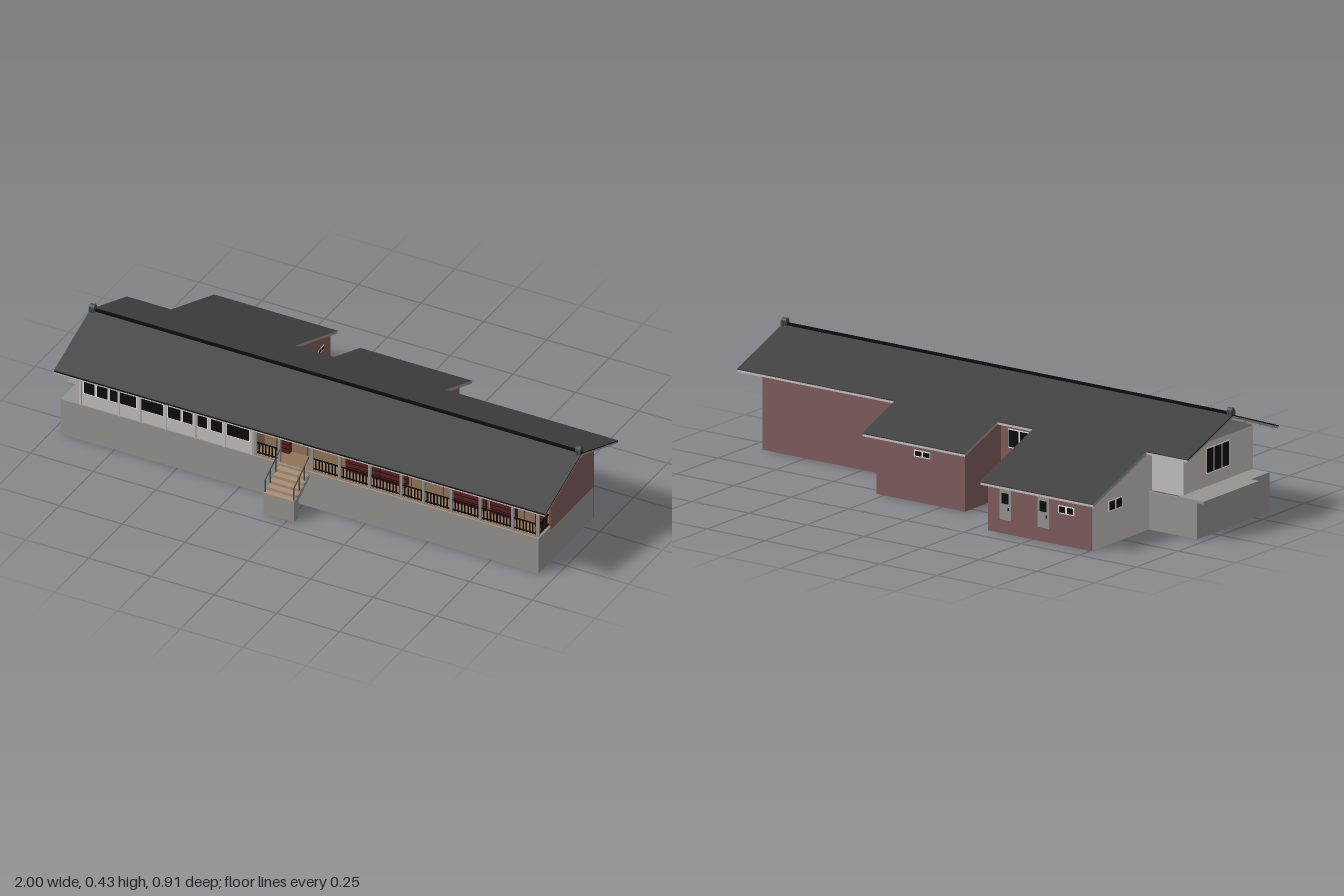
import * as THREE from 'three';

const mat = (name, hex) => {
  const m = new THREE.MeshStandardMaterial({ color: hex });
  m.name = name;
  return m;
};

export function createModel() {
  const house = new THREE.Group();
  house.name = 'longHouse';
  const grey = mat('concreteGrey', 0x969490);
  const red = mat('brickRed', 0x7e5c5e);
  const roofDark = mat('roofCharcoal', 0x404040);
  const black = mat('windowBlack', 0x0c0c0c);
  const brown = mat('woodBrown', 0x93745a);
  const tan = mat('stairTan', 0xa88f77);
  const plaster = mat('plasterWhite', 0xc6bfbf);
  const white = mat('frameWhite', 0xeeeeee);
  const maroon = mat('panelMaroon', 0x5a1e20);
  const iron = mat('ironGrey', 0x4a4a4a);

  const add = (name, geo, m) => {
    const mesh = new THREE.Mesh(geo, m);
    mesh.name = name;
    house.add(mesh);
    return mesh;
  };
  // Box from its limits on each axis
  const box = (name, m, x0, x1, y0, y1, z0, z1) => {
    const g = new THREE.BoxGeometry(x1 - x0, y1 - y0, z1 - z0);
    g.translate((x0 + x1) / 2, (y0 + y1) / 2, (z0 + z1) / 2);
    return add(name, g, m);
  };
  // Profile of [z, y] points drawn out from x0 to x1; m may be [ends, sides]
  const profile = (name, m, pts, x0, x1) => {
    const s = new THREE.Shape(pts.map(([z, y]) => new THREE.Vector2(-z, y)));
    const g = new THREE.ExtrudeGeometry(s, { depth: x1 - x0, bevelEnabled: false });
    g.rotateY(Math.PI / 2);
    g.translate(x0, 0, 0);
    return add(name, g, m);
  };
  const roofY = (z) => 0.403 - 0.375 * Math.abs(z - 0.13);
  const under = (z) => roofY(z) - 0.012;
  const T = 0.006; // wall thickness
  const wallX = (name, m, x0, x1, y0, y1, z) => box(name, m, x0, x1, y0, y1, z - T / 2, z + T / 2);
  const plateZ = (name, m, x0, x1, y0, y1, z, t = 0.009) => box(name, m, x0, x1, y0, y1, z - t / 2, z + t / 2);
  const plateX = (name, m, x, y0, y1, z0, z1, t = 0.009) => box(name, m, x - t / 2, x + t / 2, y0, y1, z0, z1);
  // Framed windows with several panes, facing z or x
  const windowAt = (plate, a0, a1, y0, y1, n, edge = 0.004) => {
    plate('windowFrame', white, a0, a1, y0, y1, 0.0085);
    const w = (a1 - a0) / n;
    for (let i = 0; i < n; i++)
      plate('windowPane', black, a0 + i * w + edge, a0 + (i + 1) * w - edge, y0 + edge, y1 - edge, 0.0099);
  };
  const onZ = (z) => (name, m, a0, a1, y0, y1, t) => plateZ(name, m, a0, a1, y0, y1, z, t);
  const onX = (x) => (name, m, a0, a1, y0, y1, t) => plateX(name, m, x, y0, y1, a0, a1, t);

  // Roof: dark covering over a pale deck, with dark edges on the main roof
  const roofLayer = (name, m, zs, top, t, x0, x1) => {
    const up = zs.map((z) => [z, roofY(z) - top]);
    const low = zs.map((z) => [z, roofY(z) - top - t]).reverse();
    return profile(name, m, [...up, ...low], x0, x1);
  };
  [[[0.4, 0.13, -0.14], -0.96, 0.998, black], [[-0.14, -0.458], -0.783, -0.29, grey], [[-0.14, -0.335], -0.135, 0.312, grey]]
    .forEach(([zs, x0, x1, edge]) => {
      roofLayer('roofCovering', [edge, roofDark], zs, 0, 0.004, x0, x1);
      roofLayer('roofDeck', [grey, plaster], zs, 0.004, 0.008, x0 + 0.001, x1 - 0.001);
    });
  box('eaveEdge', black, -0.96, 0.998, 0.296, 0.3005, 0.3985, 0.4015);
  // Ridge and end ornaments
  box('ridge', black, -0.96, 0.998, 0.398, 0.411, 0.126, 0.134);
  for (const x of [-0.95, 0.987]) {
    box('ridgeOrnamentBase', iron, x - 0.01, x + 0.01, 0.4, 0.416, 0.117, 0.143);
    const knob = add('ridgeOrnamentKnob', new THREE.CylinderGeometry(0.011, 0.011, 0.02, 10), iron);
    knob.rotation.z = Math.PI / 2;
    knob.position.set(x, 0.417, 0.13);
    for (const s of [-1, 1]) {
      const horn = add('ridgeOrnamentHorn', new THREE.ConeGeometry(0.005, 0.026, 6), iron);
      horn.position.set(x, 0.413, 0.13 + s * 0.016);
      horn.rotation.x = s * 0.25;
    }
  }
  // Purlins under the gable overhangs
  for (const z of [0.37, 0.3, 0.21, 0.05, -0.04, -0.11])
    for (const [x0, x1] of [[-0.955, -0.89], [0.935, 0.99]])
      box('purlin', grey, x0, x1, under(z) - 0.004, under(z) + 0.002, z - 0.005, z + 0.005);

  // Plinth, open below
  wallX('plinthFront', grey, -0.965, 0.938, 0, 0.145, 0.337);
  plateX('plinthRight', grey, 0.935, 0, 0.13, -0.07, 0.25, T);
  plateX('plinthRightFront', grey, 0.935, 0, 0.145, 0.25, 0.334, T);
  plateX('plinthLeft', grey, -0.962, 0, 0.14, -0.09, 0.334, T);
  wallX('plinthBack', grey, -0.965, -0.755, 0, 0.14, -0.087);
  box('terraceSlab', grey, -1, -0.89, 0.135, 0.145, -0.1, 0.23);
  box('terraceFront', grey, -0.965, -0.89, 0.135, 0.145, 0.23, 0.337);
  box('porchFloor', brown, -0.2, 0.932, 0.13, 0.1455, 0.247, 0.334);

  // Gable end walls
  const gable = [[0.335, 0.305], [0.335, under(0.335)], [0.13, under(0.13)], [-0.073, under(-0.073)], [-0.073, 0.305]];
  profile('gableRight', grey, gable, 0.932, 0.938);
  profile('gableLeft', grey, gable, -0.893, -0.887);
  plateX('endWallRight', red, 0.935, 0.13, 0.305, -0.073, 0.25, T);
  plateX('endWallLeft', plaster, -0.89, 0.145, 0.305, -0.073, 0.335, T);
  for (const x of [0.936, -0.891]) plateX('gableVent', iron, x, 0.355, 0.37, 0.103, 0.16);
  windowAt(onX(-0.89), 0.06, 0.2, 0.19, 0.285, 3);

  // Rear main wall, open into the wings
  wallX('backWall', red, 0.28, 0.938, 0, under(-0.07), -0.07);
  wallX('backWallMiddle', red, -0.31, -0.1, 0, under(-0.07), -0.07);
  wallX('backWallLeft', plaster, -0.893, -0.75, 0.14, under(-0.07), -0.07);
  windowAt(onZ(-0.07), -0.23, -0.13, 0.19, 0.26, 2);

  // Rear wings under the long slope
  const wing = (x0, x1, z, leftMat) => {
    wallX('wingBackWall', red, x0, x1, 0, under(z), z);
    const side = [[-0.07, 0], [-0.07, under(-0.07)], [z, under(z)], [z, 0]];
    profile('wingRightWall', red, side, x1 - T, x1);
    profile('wingLeftWall', leftMat, side, x0, x0 + T);
  };
  wing(-0.755, -0.305, -0.428, plaster);
  wing(-0.1, 0.285, -0.285, red);
  const door = (plate, a0, a1, y0, y1) => {
    const mid = y0 + (y1 - y0) * 0.54;
    plate('door', grey, a0, a1, y0, y1, 0.0085);
    plate('doorPane', black, a0 + 0.01, a1 - 0.01, mid, y1 - 0.012, 0.0099);
    plate('doorHandle', black, a0 + 0.008, a0 + 0.012, mid - 0.022, mid - 0.012, 0.016);
  };
  door(onX(0.282), -0.145, -0.09, 0.127, 0.245);
  windowAt(onX(-0.308), -0.382, -0.338, 0.143, 0.163, 2);
  windowAt(onX(-0.752), -0.33, -0.25, 0.12, 0.16, 2);
  door(onZ(-0.428), -0.405, -0.355, 0.05, 0.16);
  door(onZ(-0.428), -0.57, -0.52, 0.05, 0.16);
  windowAt(onZ(-0.428), -0.68, -0.61, 0.115, 0.145, 2);
  windowAt(onZ(-0.285), 0.05, 0.12, 0.165, 0.19, 2);

  // Glazed front room
  wallX('frontRoomWall', plaster, -0.893, -0.2, 0.145, under(0.335), 0.332);
  plateX('frontRoomSide', brown, -0.203, 0.145, 0.31, 0.25, 0.335, T);
  const panes = [[-0.875, -0.832], [-0.823, -0.78], [-0.77, -0.742], [-0.73, -0.667], [-0.645, -0.56],
    [-0.54, -0.49], [-0.48, -0.442], [-0.422, -0.384], [-0.368, -0.325], [-0.304, -0.218]];
  panes.forEach(([a, b]) => windowAt(onZ(0.332), a - 0.003, b + 0.003, 0.194, 0.288, 1, 0.003));
  for (const x of [-0.888, -0.735, -0.65, -0.55, -0.432, -0.315, -0.205])
    box('frontRoomPost', plaster, x - 0.004, x + 0.004, 0.145, 0.305, 0.332, 0.341);

  // Porch rear wall with windows, doors and low panels
  wallX('porchWall', brown, -0.2, 0.933, 0.145, under(0.25), 0.25);
  [[-0.19, -0.09], [0.03, 0.13], [0.27, 0.36], [0.55, 0.61], [0.72, 0.82]]
    .forEach(([a, b]) => windowAt(onZ(0.25), a, b, 0.222, 0.285, 2, 0.004));
  [-0.06, 0.19, 0.42, 0.48, 0.66, 0.87].forEach((x) => {
    plateZ('porchDoorEdge', black, x - 0.033, x + 0.033, 0.146, 0.291, 0.25, 0.0085);
    plateZ('porchDoor', brown, x - 0.032, x + 0.032, 0.146, 0.29, 0.25, 0.0099);
  });
  [[-0.14, -0.09], [0.135, 0.265], [0.275, 0.375], [0.55, 0.69], [0.71, 0.81], [0.89, 0.927]].forEach(([a, b]) => {
    box('lowPanel', maroon, a, b, 0.146, 0.22, 0.25, 0.275);
    for (const y of [0.165, 0.182, 0.2]) plateZ('panelLine', black, a, b, y, y + 0.002, 0.275, 0.003);
  });

  // Porch posts, beam and railing
  const posts = [-0.195, -0.1, 0.03, 0.14, 0.26, 0.385, 0.475, 0.585, 0.7, 0.83, 0.93];
  posts.forEach((x) => box('porchPost', grey, x - 0.005, x + 0.005, 0.145, 0.31, 0.322, 0.332));
  box('porchBeam', brown, -0.2, 0.933, 0.297, 0.309, 0.322, 0.332);
  for (let i = 0; i < posts.length - 1; i++) {
    if (i === 1) continue; // entrance
    const a = posts[i], b = posts[i + 1];
    for (const y of [0.153, 0.193]) box('porchRail', black, a, b, y, y + 0.004, 0.325, 0.329);
    for (let x = a + 0.012; x < b - 0.006; x += 0.013) box('baluster', black, x, x + 0.004, 0.15, 0.195, 0.325, 0.329);
  }
  for (const y of [0.153, 0.193]) box('endRail', black, 0.929, 0.933, y, y + 0.004, 0.253, 0.325);
  for (let z = 0.263; z < 0.32; z += 0.013) box('endBaluster', black, 0.929, 0.933, 0.15, 0.195, z, z + 0.004);

  // Entrance stair on a pier, with treads and handrails
  const steps = 5, run = 0.115 / steps, rise = 0.06 / steps;
  const stair = [[0.34, 0.12], [0.34, 0.145]];
  for (let i = 0; i < steps; i++) {
    const y = 0.145 - i * rise;
    stair.push([0.34 + i * run, y - rise], [0.34 + (i + 1) * run, y - rise]);
    box('tread', tan, -0.093, 0.023, y - rise, y - rise + 0.002, 0.34 + i * run, 0.341 + (i + 1) * run);
    box('riser', tan, -0.093, 0.023, y - rise, y, 0.339 + i * run, 0.341 + i * run);
  }
  stair.push([0.455, 0], [0.42, 0], [0.42, 0.073]);
  profile('stair', grey, stair, -0.096, 0.026);
  for (const x of [-0.092, 0.022]) {
    const path = new THREE.LineCurve3(new THREE.Vector3(x, 0.137, 0.45), new THREE.Vector3(x, 0.203, 0.338));
    add('handrail', new THREE.TubeGeometry(path, 1, 0.0025, 6), iron);
    for (const z of [0.448, 0.41, 0.372]) {
      const top = 0.137 + (0.45 - z) * 0.59;
      box('handrailPost', iron, x - 0.002, x + 0.002, top - 0.056, top, z - 0.002, z + 0.002);
    }
  }
  return house;
}
